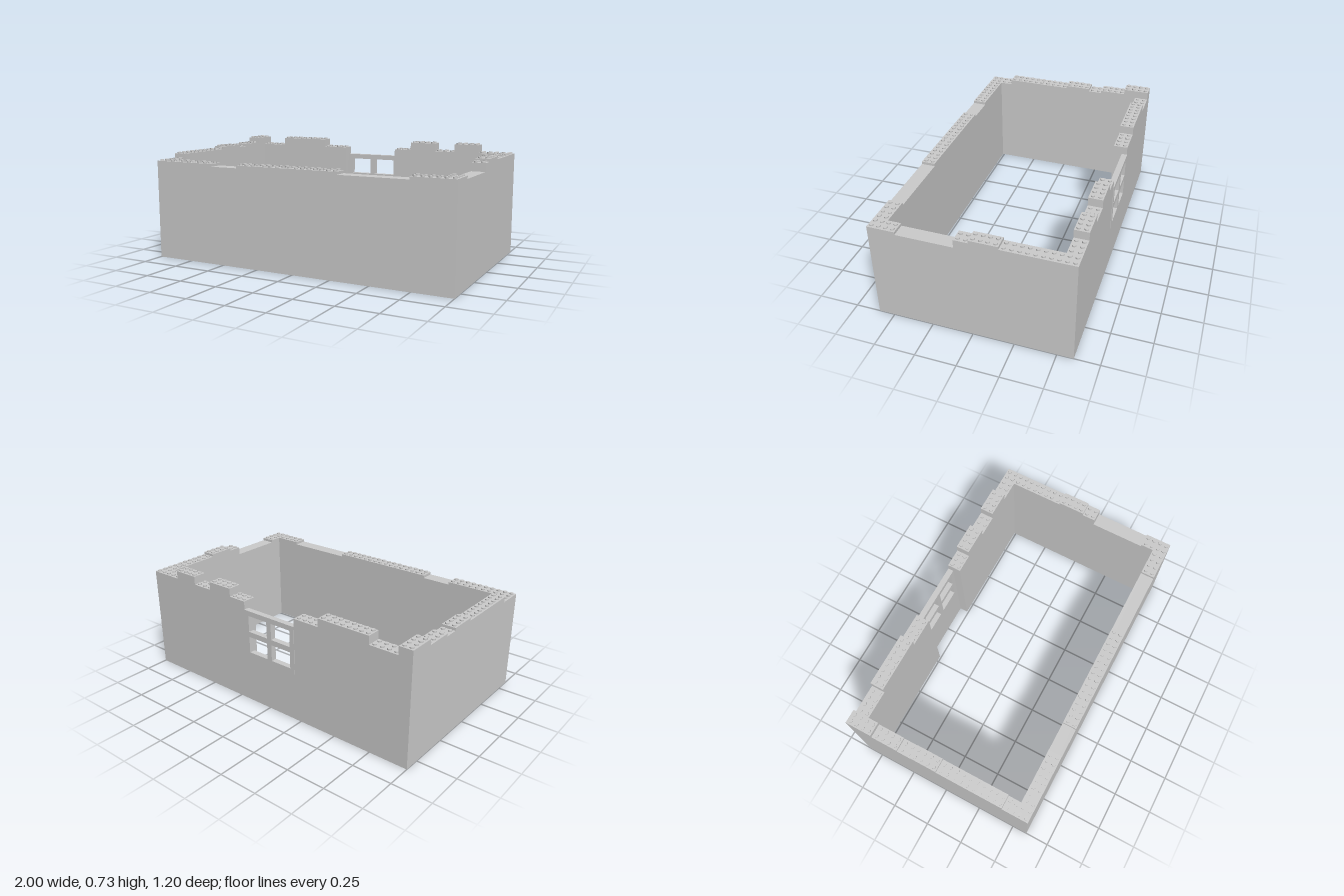
import * as THREE from 'three';
import { mergeGeometries } from 'three/addons/utils/BufferGeometryUtils.js';

const PITCH = 0.0427;                 // stud spacing
const X = 1, Z = 0.598, T = 0.087;    // outer half sizes and wall thickness
const Y0 = 0.615, PLATE = 0.632, Y1 = 0.666, Y1P = 0.683, Y2 = 0.718;
const GAP = [-0.21, 0.18];            // window opening
const SILL = 0.307;

export function createModel() {
  const model = new THREE.Group();
  const material = new THREE.MeshStandardMaterial({ color: 0xcccccc });

  const add = (name, geometry, parent = model) => {
    const mesh = new THREE.Mesh(geometry, material);
    mesh.name = name;
    parent.add(mesh);
    return mesh;
  };
  const box = (x0, x1, y0, y1, z0, z1) =>
    new THREE.BoxGeometry(x1 - x0, y1 - y0, z1 - z0)
      .translate((x0 + x1) / 2, (y0 + y1) / 2, (z0 + z1) / 2);

  // A brick or plate, with a grid of studs on top unless it is covered
  const brick = (parent, x0, x1, y0, y1, z0, z1, studs = true) => {
    const parts = [box(x0, x1, y0, y1, z0, z1)];
    if (studs) {
      const nx = Math.max(1, Math.round((x1 - x0) / PITCH));
      const nz = Math.max(1, Math.round((z1 - z0) / PITCH));
      for (let i = 0; i < nx; i++) for (let k = 0; k < nz; k++) {
        parts.push(new THREE.CylinderGeometry(0.012, 0.012, 0.0085, 12).translate(
          x0 + (i + 0.5) * (x1 - x0) / nx, y1 + 0.00425, z0 + (k + 0.5) * (z1 - z0) / nz));
      }
    }
    add('brick', mergeGeometries(parts), parent);
  };

  // Plain lower walls
  add('frontWall', box(-X + T, X - T, 0, Y0, Z - T, Z));
  add('leftWall', box(X - T, X, 0, Y0, -Z, Z));
  add('rightWall', box(-X, -X + T, 0, Y0, -Z, Z));
  add('backWallRight', box(-X + T, GAP[0], 0, Y0, -Z, -Z + T));
  add('backWallLeft', box(GAP[1], X - T, 0, Y0, -Z, -Z + T));
  add('panelUnderWindow', box(GAP[0], GAP[1], 0, SILL, -Z, -Z + 0.033));

  // Window frame with four panes
  const rect = (Type, x0, x1, y0, y1) => {
    const p = new Type();
    p.moveTo(x0, y0);
    p.lineTo(x1, y0);
    p.lineTo(x1, y1);
    p.lineTo(x0, y1);
    p.closePath();
    return p;
  };
  const frame = rect(THREE.Shape, GAP[0], GAP[1], SILL, Y0);
  const border = 0.032, bar = 0.034;
  const paneW = (GAP[1] - GAP[0] - 2 * border - bar) / 2;
  const paneH = (Y0 - SILL - 2 * border - bar) / 2;
  for (let i = 0; i < 2; i++) for (let j = 0; j < 2; j++) {
    const x = GAP[0] + border + i * (paneW + bar);
    const y = SILL + border + j * (paneH + bar);
    frame.holes.push(rect(THREE.Path, x, x + paneW, y, y + paneH));
  }
  add('windowFrame', new THREE.ExtrudeGeometry(frame, { depth: 0.036, bevelEnabled: false })
    .translate(0, 0, -Z - 0.003));

  const course = (name) => {
    const g = new THREE.Group();
    g.name = name;
    model.add(g);
    return g;
  };

  // Front course: studded plates with bare stretches between
  const front = course('frontCourse');
  for (const [a, b] of [[-X + T, -0.74], [-0.74, -0.57], [-0.385, -0.215], [-0.215, -0.04],
    [-0.04, 0.13], [0.13, 0.3], [0.735, X - T]]) {
    brick(front, a, b, Y0, PLATE, Z - T, Z);
  }

  // Back course: [start, end, covered by an upper brick]
  const back = course('backCourse');
  for (const [a, b, covered] of [[-X + T, -0.73], [-0.73, -0.565, 1], [-0.565, -0.385, 1],
    [-0.385, GAP[0]], [GAP[1], 0.3], [0.3, 0.475, 1], [0.475, 0.615], [0.615, 0.78, 1],
    [0.78, X - T]]) {
    brick(back, a, b, Y0, Y1, -Z, -Z + T, !covered);
    if (covered) brick(back, a, b, Y1, Y2, -Z, -Z + T);
  }

  // Side courses: [z start, z end, top of the upper piece or 0]
  const side = (name, x0, rows) => {
    const g = course(name);
    brick(g, x0, x0 + T, Y0, PLATE, 0.43, Z);
    for (const [a, b, top] of rows) {
      brick(g, x0, x0 + T, Y0, Y1, a, b, !top);
      if (top) brick(g, x0, x0 + T, Y1, top, a, b);
    }
  };
  side('leftCourse', X - T, [[-Z, -0.43], [-0.43, -0.26], [-0.26, -0.17],
    [-0.17, 0, Y1P], [0, 0.085]]);
  side('rightCourse', -X, [[-Z, -0.43, Y2], [-0.43, -0.26, Y1P], [-0.26, -0.17],
    [-0.17, 0, Y1P], [0, 0.085], [0.085, 0.26], [0.26, 0.43]]);

  return model;
}
